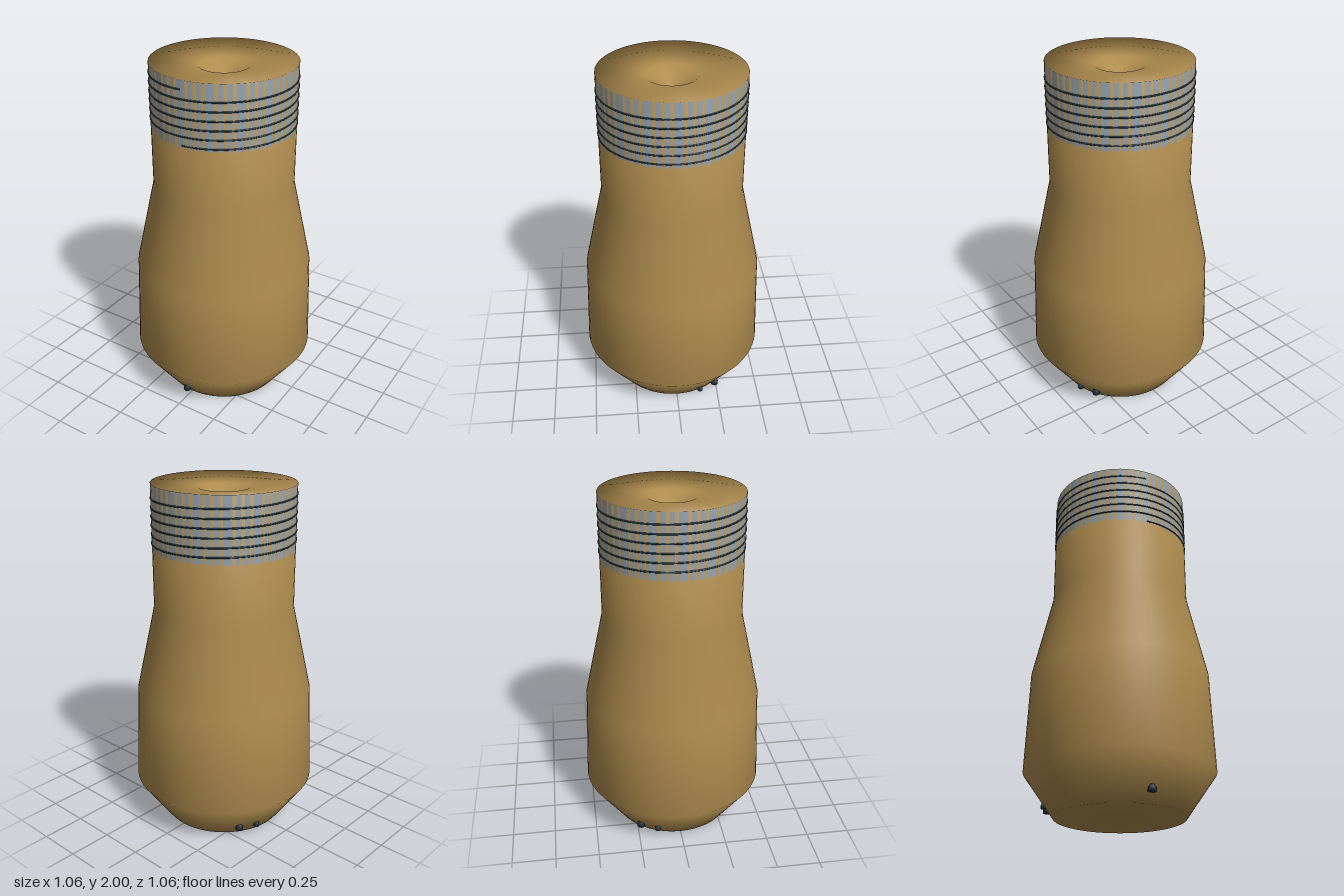
import * as THREE from 'three';

const material = (name, color, side = THREE.FrontSide) => {
  const m = new THREE.MeshStandardMaterial({ color, side });
  m.name = name;
  return m;
};

const lathe = (points, segments) =>
  new THREE.LatheGeometry(points.map(([r, y]) => new THREE.Vector2(r, y)), segments);

export function createModel() {
  const group = new THREE.Group();
  const brass = material('brass', 0xb08d4f);
  const steel = material('steel', 0x98a6b2, THREE.DoubleSide);
  const dark = material('dark steel', 0x24363e);

  const add = (name, geometry, mat) => {
    const mesh = new THREE.Mesh(geometry, mat);
    mesh.name = name;
    group.add(mesh);
    return mesh;
  };

  // Turned body with a tapered base, straight neck and dished top
  add('body', lathe([
    [0, 0], [0.36, 0], [0.53, 0.24], [0.51, 0.8], [0.4, 1.3],
    [0.4, 2], [0.14, 1.97], [0, 1.88],
  ], 64), brass);

  // Steel collar inlaid flush with the neck, so the brass shows through in stripes
  add('collar', lathe([[0.39, 1.64], [0.4004, 1.64], [0.4004, 2]], 48), steel);

  // Fine thread: six turns rising around the collar, ending at the front
  const turns = 6, steps = 24;
  const path = [];
  for (let i = 0; i <= turns * steps; i++) {
    const a = (i / steps) * Math.PI * 2;
    path.push(new THREE.Vector3(0.4 * Math.sin(a), 1.65 + 0.05 * i / steps, 0.4 * Math.cos(a)));
  }
  add('thread', new THREE.TubeGeometry(new THREE.CatmullRomCurve3(path), turns * 48, 0.005, 6), dark);

  // Small domed pins around the tapered base: [angle in degrees, scale]
  const pin = lathe([[0, 0], [0.022, 0], [0.022, 0.022], [0.012, 0.04], [0, 0.044]], 12);
  for (const [degrees, scale] of [[0, 1], [125, 1], [-125, 1], [110, 0.75], [-110, 0.75]]) {
    const a = THREE.MathUtils.degToRad(degrees);
    const mesh = add('pin', pin, dark);
    mesh.position.set(0.41 * Math.sin(a), 0.05, 0.41 * Math.cos(a));
    mesh.scale.setScalar(scale);
  }
  return group;
}
